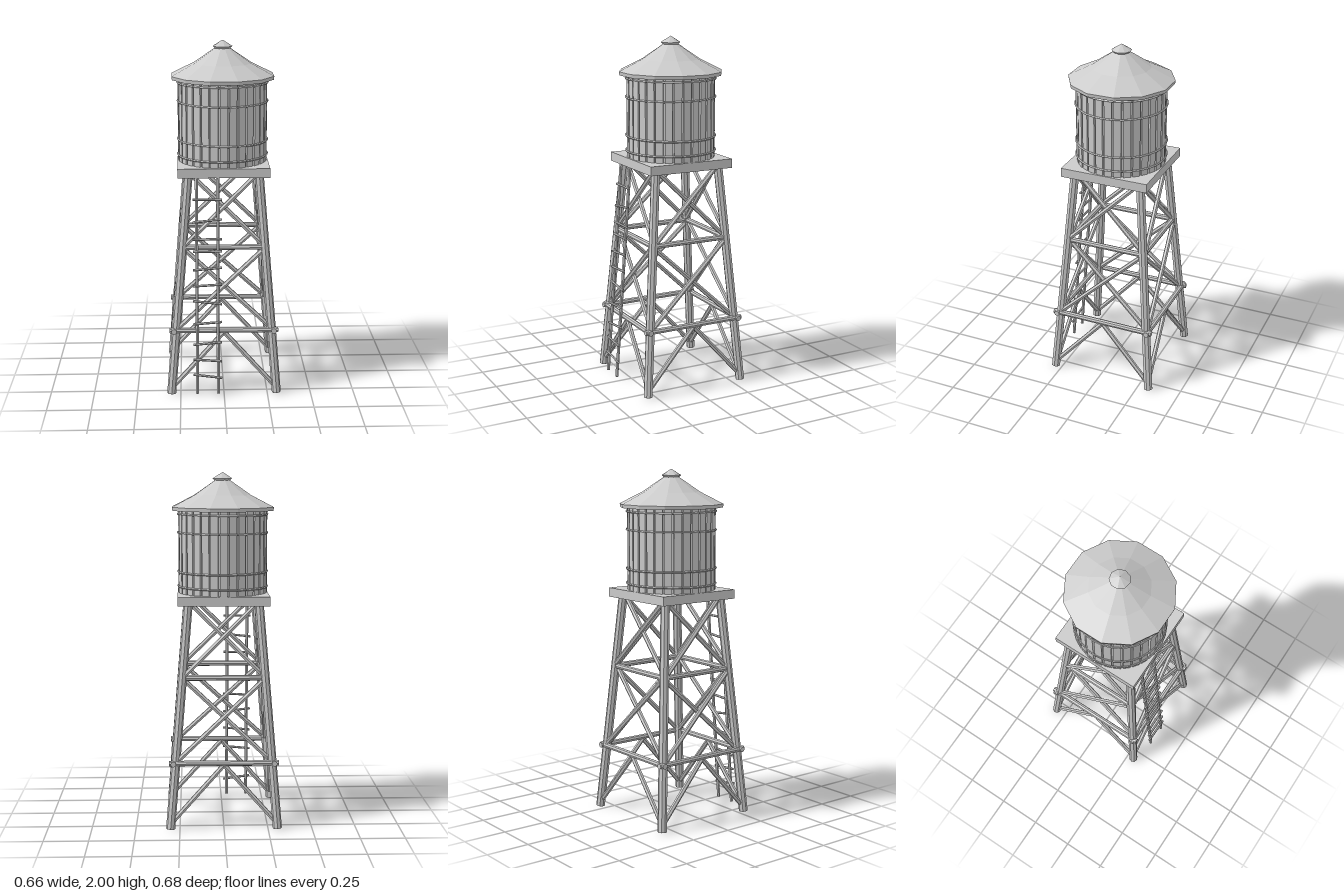
import * as THREE from 'three';

const material = new THREE.MeshStandardMaterial({ color: 0xcccccc, flatShading: true, side: THREE.DoubleSide });
const UP = new THREE.Vector3(0, 1, 0);

function add(parent, name, geometry) {
  const mesh = new THREE.Mesh(geometry, material);
  mesh.name = name;
  parent.add(mesh);
  return mesh;
}

// Round timber between two points
function bar(parent, name, a, b, radius, sides = 8) {
  const from = new THREE.Vector3(...a), to = new THREE.Vector3(...b);
  const dir = to.clone().sub(from);
  const mesh = add(parent, name, new THREE.CylinderGeometry(radius, radius, dir.length(), sides));
  mesh.position.copy(from).add(to).multiplyScalar(0.5);
  mesh.quaternion.setFromUnitVectors(UP, dir.normalize());
  return mesh;
}

function seeded(seed) {
  return () => {
    seed = (seed * 16807) % 2147483647;
    return seed / 2147483647 - 0.5;
  };
}

// Distance of the leg axis from the centre planes at height y
const legAt = (y) => 0.303 - 0.082 * y;

function buildSide(index) {
  const side = new THREE.Group();
  side.name = 'towerSide';
  const low = 0.38, mid = 0.86, top = 1.27;

  bar(side, 'leg', [legAt(0), 0.003, legAt(0)], [legAt(top), top, legAt(top)], 0.026);

  // Horizontal beams
  bar(side, 'lowerBeam', [-0.31, low, 0.285], [0.31, low, 0.285], 0.016);
  bar(side, 'middleBeam', [-legAt(mid), mid, legAt(mid)], [legAt(mid), mid, legAt(mid)], 0.016);

  for (const s of [-1, 1]) {
    // Inverted V at the foot, crossed braces above
    bar(side, 'footBrace', [s * 0.285, 0.05, 0.297], [0, 0.37, 0.283], 0.014, 6);
    const shift = s * 0.008;
    bar(side, 'lowerBrace', [-s * 0.255, low + 0.02, legAt(low) + shift],
      [s * 0.215, mid - 0.02, legAt(mid) + shift], 0.014, 6);
    bar(side, 'upperBrace', [-s * 0.215, mid + 0.02, legAt(mid) + shift],
      [s * 0.17, top - 0.01, legAt(top) + shift], 0.014, 6);
  }
  side.rotation.y = index * Math.PI / 2;
  return side;
}

function buildLadder() {
  const ladder = new THREE.Group();
  ladder.name = 'ladder';
  const random = seeded(17);
  const railZ = (y) => 0.341 - 0.077 * y;
  for (const x of [-0.153, -0.034]) {
    bar(ladder, 'ladderRail', [x, 0.015, railZ(0)], [x, 1.27, railZ(1.27)], 0.01, 6);
  }
  for (const y of [0.12, 0.215, 0.315, 0.435, 0.555, 0.655, 0.75, 0.85, 0.92, 1.025, 1.145]) {
    const tilt = random() * 0.022, z = railZ(y) + 0.008;
    bar(ladder, 'ladderRung', [-0.175, y - tilt, z], [-0.012, y + tilt, z], 0.007, 6);
  }
  return ladder;
}

function buildTank() {
  const tank = new THREE.Group();
  tank.name = 'tank';
  const random = seeded(5);
  const bottom = 1.315, height = 0.485;
  add(tank, 'tankCore', new THREE.CylinderGeometry(0.241, 0.241, height, 32)).position.y = bottom + height / 2;

  // Staves with narrow gaps
  const count = 30;
  for (let i = 0; i < count; i++) {
    const angle = (i / count) * Math.PI * 2;
    const stave = add(tank, 'stave', new THREE.BoxGeometry(0.042, height, 0.014));
    const r = 0.245 + random() * 0.003;
    stave.position.set(Math.sin(angle) * r, bottom + height / 2, Math.cos(angle) * r);
    stave.rotation.y = angle;
  }

  // Iron hoops
  for (const y of [1.355, 1.44, 1.66, 1.765]) {
    const hoop = add(tank, 'hoop', new THREE.TorusGeometry(0.255, 0.006, 5, 30));
    hoop.position.y = y;
    hoop.rotation.set(Math.PI / 2 + random() * 0.02, random() * 0.02, 0);
  }
  return tank;
}

function buildRoof() {
  const roof = new THREE.Group();
  roof.name = 'roof';
  const lathe = (points, sides, start) => new THREE.LatheGeometry(
    points.map(([x, y]) => new THREE.Vector2(x, y)), sides, start);
  // Twelve-sided roof with a closed underside
  add(roof, 'roofShell', lathe(
    [[0, 1.795], [0.25, 1.795], [0.294, 1.785], [0.297, 1.805], [0.165, 1.872], [0.04, 1.957], [0, 1.96]],
    12, Math.PI / 12));
  // Small peaked cap
  add(roof, 'roofCap', lathe([[0, 1.945], [0.036, 1.945], [0.056, 1.965], [0, 2]], 9, 0.2));
  return roof;
}

export function createModel() {
  const model = new THREE.Group();
  model.name = 'waterTower';
  const tower = new THREE.Group();
  tower.name = 'tower';
  tower.position.z = -0.012;
  model.add(tower);

  for (let i = 0; i < 4; i++) tower.add(buildSide(i));
  add(tower, 'platform', new THREE.BoxGeometry(0.515, 0.052, 0.515)).position.y = 1.293;
  tower.add(buildLadder(), buildTank(), buildRoof());
  return model;
}
